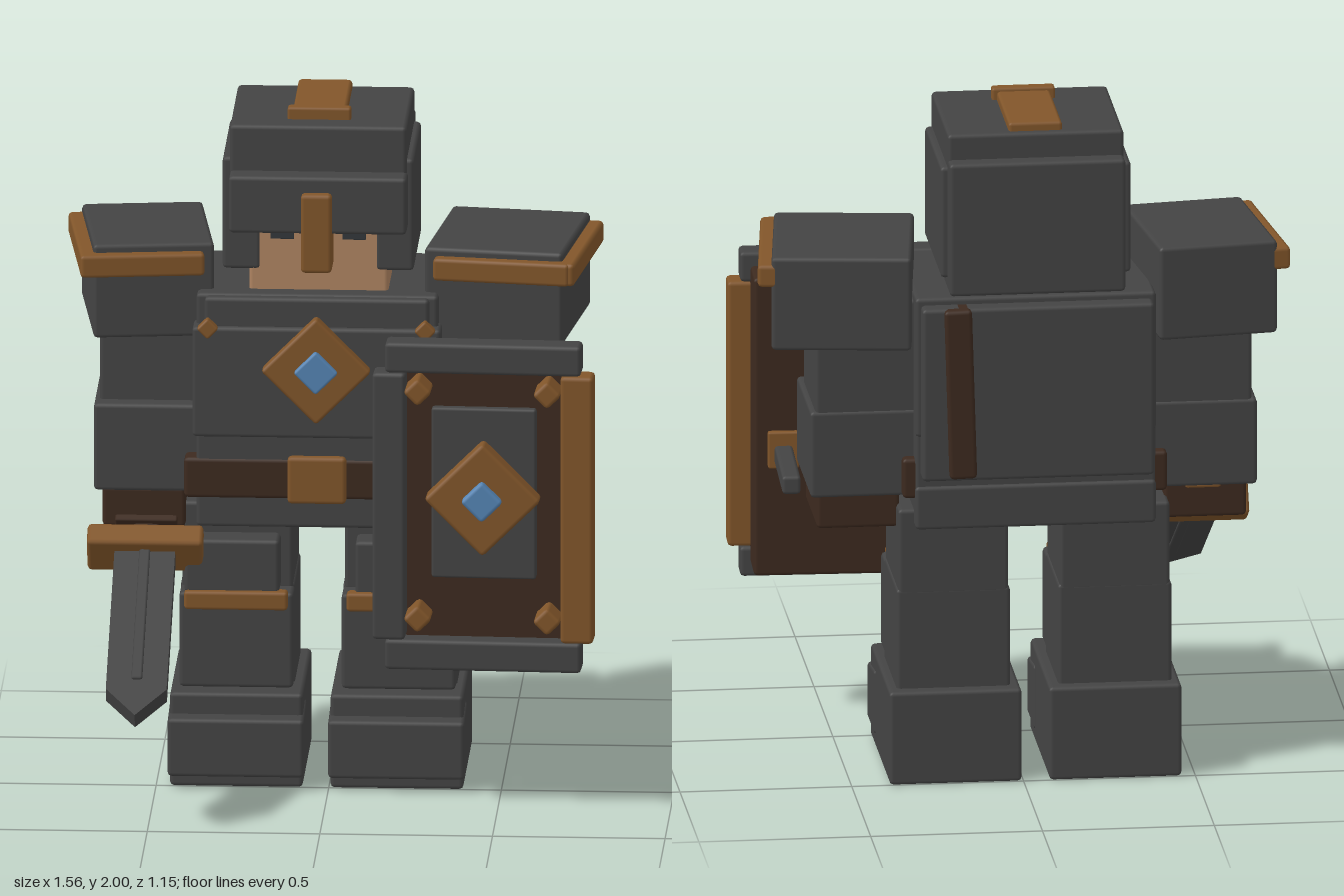
import * as THREE from 'three';
import { RoundedBoxGeometry } from 'three/addons/geometries/RoundedBoxGeometry.js';

const mat = (name, color) => {
  const m = new THREE.MeshStandardMaterial({ color });
  m.name = name;
  return m;
};

export function createModel() {
  const steel = mat('dark steel', 0x444444);
  const bronze = mat('bronze', 0x82562a);
  const leather = mat('dark leather', 0x3d2a1f);
  const skin = mat('skin', 0xb08562);
  const gem = mat('blue gem', 0x5585b5);
  const eyeMat = mat('eye', 0x33383c);

  const root = new THREE.Group();
  const CX = -0.035; // body centre line

  const group = (name, parent = root) => {
    const g = new THREE.Group();
    g.name = name;
    parent.add(g);
    return g;
  };
  // Softly bevelled box given by its bounds
  const box = (parent, name, m, x0, x1, y0, y1, z0, z1) => {
    const w = x1 - x0, h = y1 - y0, d = z1 - z0;
    const r = Math.min(0.012, Math.min(w, h, d) * 0.2);
    const mesh = new THREE.Mesh(new RoundedBoxGeometry(w, h, d, 1, r), m);
    mesh.name = name;
    mesh.position.set((x0 + x1) / 2, (y0 + y1) / 2, (z0 + z1) / 2);
    parent.add(mesh);
    return mesh;
  };
  // Diamond stud: a square plate turned by 45 degrees, half = half diagonal
  const diamond = (parent, name, m, x, y, half, z0, z1) => {
    const s = half / Math.SQRT2;
    const d = box(parent, name, m, x - s, x + s, y - s, y + s, z0, z1);
    d.rotation.z = Math.PI / 4;
    return d;
  };

  // Legs and boots, mirrored about the centre line
  for (const s of [-1, 1]) {
    const leg = group(s < 0 ? 'rightLeg' : 'leftLeg');
    const mbox = (name, m, a, b, ...rest) =>
      box(leg, name, m, CX + Math.min(s * a, s * b), CX + Math.max(s * a, s * b), ...rest);
    mbox('boot', steel, 0.04, 0.425, 0, 0.28, -0.505, 0.005);
    const toe = mbox('toeCap', steel, 0.035, 0.43, 0.04, 0.235, -0.13, 0.05);
    const p = toe.geometry.attributes.position;
    for (let i = 0; i < p.count; i++) // slope the cap down to the front
      if (p.getY(i) > 0 && p.getZ(i) > 0) p.setY(i, p.getY(i) - 0.022);
    mbox('shin', steel, 0.07, 0.4, 0.26, 0.58, -0.465, -0.13);
    mbox('greave', steel, 0.07, 0.4, 0.285, 0.57, -0.16, -0.04);
    mbox('thigh', steel, 0.075, 0.395, 0.56, 0.82, -0.465, -0.12);
    mbox('kneePlate', steel, 0.11, 0.385, 0.57, 0.73, -0.14, -0.03);
    mbox('kneeTrim', bronze, 0.085, 0.385, 0.525, 0.58, -0.06, -0.01);
  }

  // Torso
  const torso = group('torso');
  box(torso, 'pelvis', steel, -0.385, 0.315, 0.77, 0.9, -0.51, -0.03);
  box(torso, 'abdomen', steel, -0.385, 0.315, 0.88, 1.1, -0.5, -0.02);
  box(torso, 'belt', leather, -0.42, 0.35, 0.86, 0.98, -0.49, -0.015);
  box(torso, 'buckle', bronze, -0.12, 0.05, 0.85, 0.99, -0.06, 0.005);
  box(torso, 'chest', steel, -0.385, 0.315, 1.05, 1.47, -0.51, -0.03);
  box(torso, 'breastplate', steel, -0.395, 0.325, 1.05, 1.38, -0.2, 0.012);
  box(torso, 'collar', steel, -0.36, 0.29, 1.37, 1.465, -0.3, -0.005);
  box(torso, 'backPlate', steel, -0.375, 0.3, 0.93, 1.45, -0.56, -0.48);
  const strap = box(torso, 'backStrap', leather, 0.15, 0.23, 0.94, 1.45, -0.58, -0.5);
  strap.rotation.z = -0.03;
  diamond(torso, 'chestEmblem', bronze, CX, 1.26, 0.16, 0, 0.05);
  diamond(torso, 'chestGem', gem, CX, 1.26, 0.065, 0.03, 0.068);
  for (const s of [-1, 1])
    diamond(torso, 'chestStud', bronze, CX + s * 0.315, 1.38, 0.032, 0, 0.035);

  // Head and helmet
  const head = group('head');
  box(head, 'face', skin, -0.235, 0.168, 1.44, 1.74, -0.46, -0.09);
  box(head, 'helmetTop', steel, -0.29, 0.222, 1.68, 1.965, -0.52, -0.07);
  box(head, 'helmetBack', steel, -0.29, 0.222, 1.49, 1.89, -0.57, -0.42);
  box(head, 'brow', steel, -0.29, 0.225, 1.66, 1.83, -0.1, 0);
  box(head, 'noseGuard', bronze, -0.08, 0.01, 1.55, 1.785, -0.09, 0.03);
  box(head, 'crest', bronze, -0.113, 0.043, 1.94, 1.99, -0.5, -0.17);
  box(head, 'crestFront', bronze, -0.127, 0.057, 1.94, 2, -0.185, -0.145);
  for (const s of [-1, 1]) {
    const c = CX + s * 0.222;
    box(head, 'cheekGuard', steel, c - 0.055, c + 0.055, 1.53, 1.865, -0.51, -0.085);
    const e = CX + s * 0.104;
    box(head, 'eye', eyeMat, e - 0.034, e + 0.034, 1.622, 1.648, -0.093, -0.085);
  }

  // Arms
  for (const s of [-1, 1]) {
    const arm = group(s < 0 ? 'rightArm' : 'leftArm');
    const mbox = (name, m, a, b, ...rest) =>
      box(arm, name, m, CX + Math.min(s * a, s * b), CX + Math.max(s * a, s * b), ...rest);
    mbox('upperArm', steel, 0.34, 0.635, 1.08, 1.45, -0.45, -0.135);
    mbox('gauntlet', steel, 0.335, 0.65, 0.86, 1.12, -0.455, -0.08);
    mbox('glove', leather, 0.385, 0.625, 0.75, 0.87, -0.4, -0.09);
  }

  // Pauldrons: yawed blocks with bronze trim on the front and outer sides
  const pauldron = (name, s, x, w, d, y) => {
    const g = group(name);
    g.position.set(x, y, -0.288);
    g.rotation.y = -s * 0.125;
    box(g, 'shoulderPlate', steel, -w / 2, w / 2, -0.145, 0.135, -d / 2, d / 2);
    box(g, 'shoulderTrimFront', bronze, s < 0 ? -w / 2 - 0.04 : -w / 2 + 0.03,
      s < 0 ? w / 2 - 0.03 : w / 2 + 0.025, 0.045, 0.112, d / 2 - 0.02, d / 2 + 0.035);
    const o = s * (w / 2 + 0.01);
    box(g, 'shoulderTrimSide', bronze, o - 0.03, o + 0.03, 0.045, 0.112, -d / 2, d / 2 + 0.03);
  };
  pauldron('rightPauldron', -1, -0.538, 0.35, 0.46, 1.473);
  pauldron('leftPauldron', 1, 0.503, 0.405, 0.47, 1.468);

  // Sword, local +z runs along the blade and points forward and down
  const sword = group('sword');
  sword.position.set(-0.533, 0.7, -0.05);
  sword.rotation.x = Math.PI / 6;
  box(sword, 'guard', bronze, -0.168, 0.168, -0.06, 0.06, -0.04, 0.04);
  box(sword, 'grip', leather, -0.04, 0.04, -0.04, 0.04, -0.34, -0.03);
  for (const z of [-0.07, -0.11, -0.15])
    box(sword, 'gripBand', leather, -0.09, 0.09, -0.055, 0.055, z - 0.013, z + 0.013);
  box(sword, 'pommel', bronze, -0.055, 0.055, -0.055, 0.055, -0.38, -0.33);
  const outline = new THREE.Shape([[-0.088, 0], [0.088, 0], [0.088, 0.6], [0, 0.705], [-0.088, 0.6]]
    .map(([x, y]) => new THREE.Vector2(x, y)));
  const bladeGeo = new THREE.ExtrudeGeometry(outline, { depth: 0.05, bevelEnabled: false });
  bladeGeo.translate(0, 0, -0.025).rotateX(Math.PI / 2);
  const blade = new THREE.Mesh(bladeGeo, steel);
  blade.name = 'blade';
  sword.add(blade);
  box(sword, 'bladeRidge', steel, -0.016, 0.016, -0.033, 0.033, 0.03, 0.56);

  // Shield, slightly yawed, local origin at the centre of the board
  const shield = group('shield');
  shield.position.set(0.465, 0.92, 0.13);
  shield.rotation.y = -0.035;
  box(shield, 'board', leather, -0.255, 0.255, -0.45, 0.45, -0.07, 0.085);
  for (const s of [-1, 1]) {
    box(shield, s > 0 ? 'topRim' : 'bottomRim', steel, -0.285, 0.285,
      s * 0.445 - 0.045, s * 0.445 + 0.045, 0.06, 0.145);
    box(shield, s > 0 ? 'bronzeRim' : 'steelRim', s > 0 ? bronze : steel,
      s * 0.273 - 0.048, s * 0.273 + 0.048, -0.4, 0.4, 0.065, 0.15);
    for (const t of [-1, 1])
      diamond(shield, 'cornerStud', bronze, s * 0.188, t * 0.34 + 0.01, 0.043, 0.07, 0.175);
    // Brackets and rods behind the board
    box(shield, 'bracket', bronze, s * 0.17 - 0.045, s * 0.17 + 0.045, -0.12, -0.01, -0.09, -0.06);
    box(shield, 'rod', steel, s * 0.17 - 0.027, s * 0.17 + 0.027, -0.105, -0.05, -0.4, -0.08);
  }
  box(shield, 'panel', steel, -0.152, 0.152, -0.22, 0.29, 0.07, 0.11);
  diamond(shield, 'shieldEmblem', bronze, 0, 0.03, 0.17, 0.1, 0.17);
  diamond(shield, 'shieldGem', gem, 0, 0.03, 0.062, 0.14, 0.195);

  return root;
}
